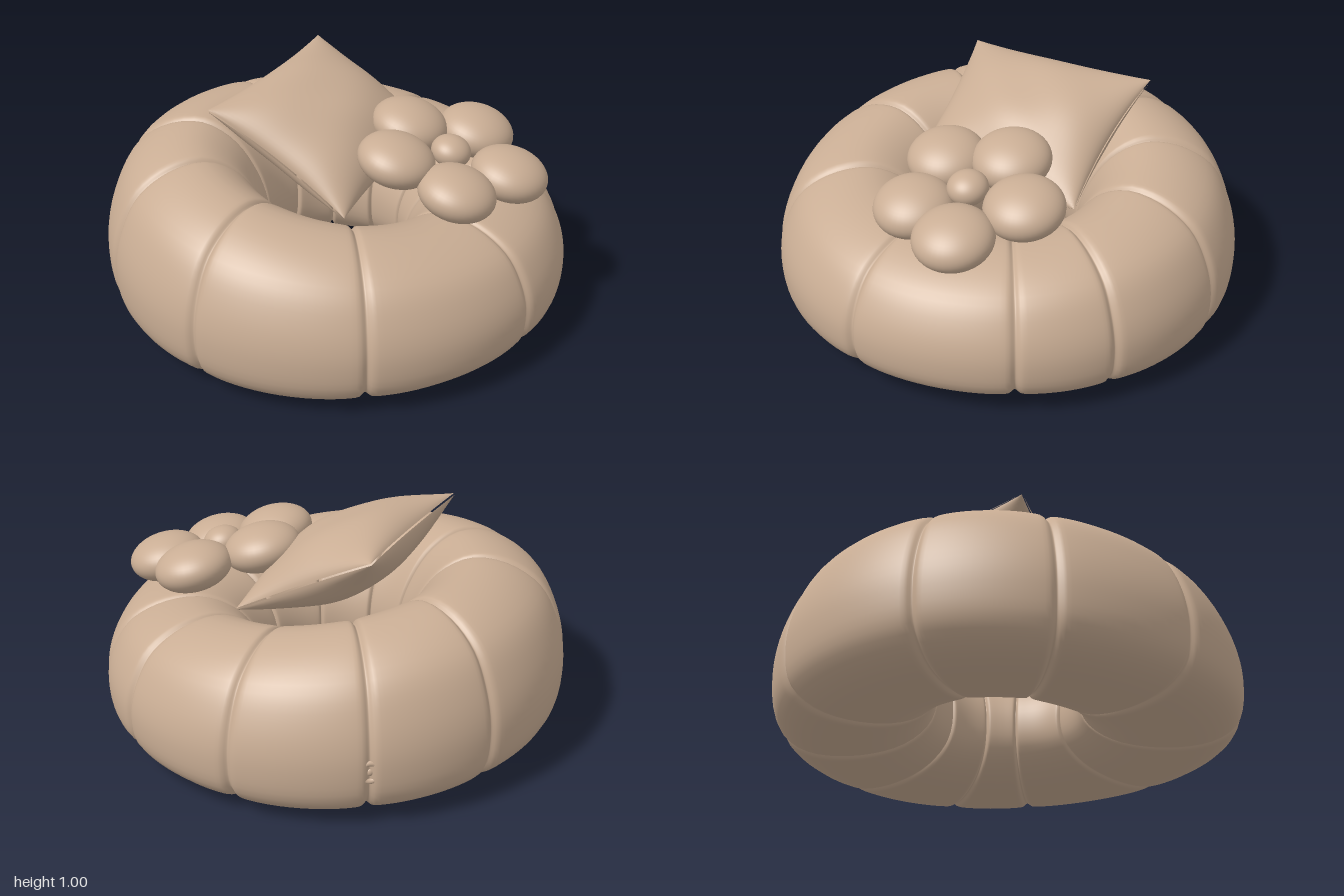
import * as THREE from 'three';

const V = (x, y, z) => new THREE.Vector3(x, y, z);

// Builds a smooth indexed grid; closed grids wrap in both directions
function gridGeometry(points, rows, cols, closed, flip) {
  const index = [];
  const iMax = closed ? rows : rows - 1, jMax = closed ? cols : cols - 1;
  for (let i = 0; i < iMax; i++) {
    for (let j = 0; j < jMax; j++) {
      const i2 = (i + 1) % rows, j2 = (j + 1) % cols;
      const a = i * cols + j, b = i * cols + j2, c = i2 * cols + j2, d = i2 * cols + j;
      if (flip) index.push(a, c, b, a, d, c);
      else index.push(a, b, c, a, c, d);
    }
  }
  const g = new THREE.BufferGeometry().setFromPoints(points);
  g.setIndex(index);
  g.computeVertexNormals();
  return g;
}

// Inflated ring: one cross-section swept round, pinched at the seams, lower at +x
const SEAMS = [-144, -113, -80, -46.6, -23, 18, 63, 105, 140, 172];
const SECTION = new THREE.CatmullRomCurve3([
  [1, .38], [.965, .64], [.875, .86], [.73, .98], [.59, 1], [.46, .91], [.35, .7],
  [.3, .45], [.33, .2], [.45, .06], [.65, 0], [.85, .03], [.965, .14],
].map(([r, h]) => V(r, h, 0)), true);

function ringGeometry() {
  const steps = 26, cols = 56, points = [];
  const section = SECTION.getSpacedPoints(cols).slice(0, cols);
  SEAMS.forEach((deg, k) => {
    const a0 = THREE.MathUtils.degToRad(deg);
    const a1 = THREE.MathUtils.degToRad(k < SEAMS.length - 1 ? SEAMS[k + 1] : SEAMS[0] + 360);
    for (let s = 0; s < steps; s++) {
      const t = s / steps;
      const a = a0 + (a1 - a0) * (t - 0.9 * Math.sin(2 * Math.PI * t) / (2 * Math.PI));
      const d = Math.min(a - a0, a1 - a);
      const pinch = 1 - 0.045 * Math.exp(-((d / 0.018) ** 2)) - 0.02 * Math.exp(-d / 0.06);
      const cos = Math.cos(a), sin = Math.sin(a);
      const base = 0.03 * cos * cos, top = 0.675 - 0.095 * cos;
      for (const p of section) {
        const r = 0.65 + (p.x - 0.65) * pinch;
        const h = 0.5 + (p.y - 0.5) * pinch;
        points.push(V(r * cos, base + (top - base) * h, r * sin));
      }
    }
  });
  return gridGeometry(points, SEAMS.length * steps, cols, true, false);
}

// Pillow: two bulging sheets between four corners, meeting in a sharp seam
const CORNERS = [V(-.45, .94, .32), V(.17, .58, .38), V(-.29, .96, -.54), V(.31, .63, -.41)];

function pillowSide(side) {
  const n = 36, points = [];
  const [fl, fr, bl, br] = CORNERS;
  const along = fr.clone().add(br).sub(fl).sub(bl);
  const across = fl.clone().add(fr).sub(bl).sub(br);
  const normal = across.cross(along).normalize();
  for (let i = 0; i <= n; i++) {
    for (let j = 0; j <= n; j++) {
      const u = -Math.cos(Math.PI * i / n), v = -Math.cos(Math.PI * j / n);
      const pu = u * (1 - 0.07 * (1 - v * v)), pv = v * (1 - 0.07 * (1 - u * u));
      const back = bl.clone().lerp(br, (pu + 1) / 2);
      const front = fl.clone().lerp(fr, (pu + 1) / 2);
      const puff = Math.pow(Math.max(0, (1 - u * u) * (1 - v * v)), 0.55);
      const folds = 1 + 0.05 * Math.sin(5 * u + 2 * v) * Math.cos(4 * v);
      points.push(back.lerp(front, (pv + 1) / 2).addScaledVector(normal, side * (0.165 * puff * folds + 0.004)));
    }
  }
  return gridGeometry(points, n + 1, n + 1, false, side < 0);
}

export function createModel() {
  const model = new THREE.Group();
  model.name = 'inflatableRingWithPillowAndFlower';
  const clay = new THREE.MeshStandardMaterial({ color: 0xc9ad94 });
  clay.name = 'warm beige';

  const add = (parent, name, geometry, x = 0, y = 0, z = 0) => {
    const mesh = new THREE.Mesh(geometry, clay);
    mesh.name = name;
    mesh.position.set(x, y, z);
    parent.add(mesh);
    return mesh;
  };

  add(model, 'ring', ringGeometry());

  const pillow = new THREE.Group();
  pillow.name = 'pillow';
  model.add(pillow);
  add(pillow, 'pillowTop', pillowSide(1));
  add(pillow, 'pillowUnderside', pillowSide(-1));

  // Flower: five flattened round petals about a small button, tilted down towards +x
  const flower = new THREE.Group();
  flower.name = 'flower';
  model.add(flower);
  const petals = [[.54, .74, -.28], [.745, .672, -.065], [.585, .675, .175], [.315, .765, .145], [.285, .795, -.13]];
  const ball = new THREE.SphereGeometry(1, 40, 28);
  for (const [x, y, z] of petals) {
    const petal = add(flower, 'petal', ball, x, y, z);
    petal.scale.set(.165, .1, .165);
    petal.rotation.z = -0.24;
  }
  const button = add(flower, 'flowerCentre', ball, .5, .755, -.025);
  button.scale.set(.085, .065, .085);
  button.rotation.z = -0.24;

  // Air valve on the back of the ring
  const valve = new THREE.Group();
  valve.name = 'valve';
  const angle = THREE.MathUtils.degToRad(-113);
  valve.position.set(.975 * Math.cos(angle), .26, .975 * Math.sin(angle));
  valve.rotation.y = Math.PI / 2 - angle;
  model.add(valve);
  add(valve, 'valveRim', new THREE.TorusGeometry(.04, .012, 12, 28));
  add(valve, 'valvePlug', ball, 0, 0, -.004).scale.set(.018, .018, .014);

  return model;
}
